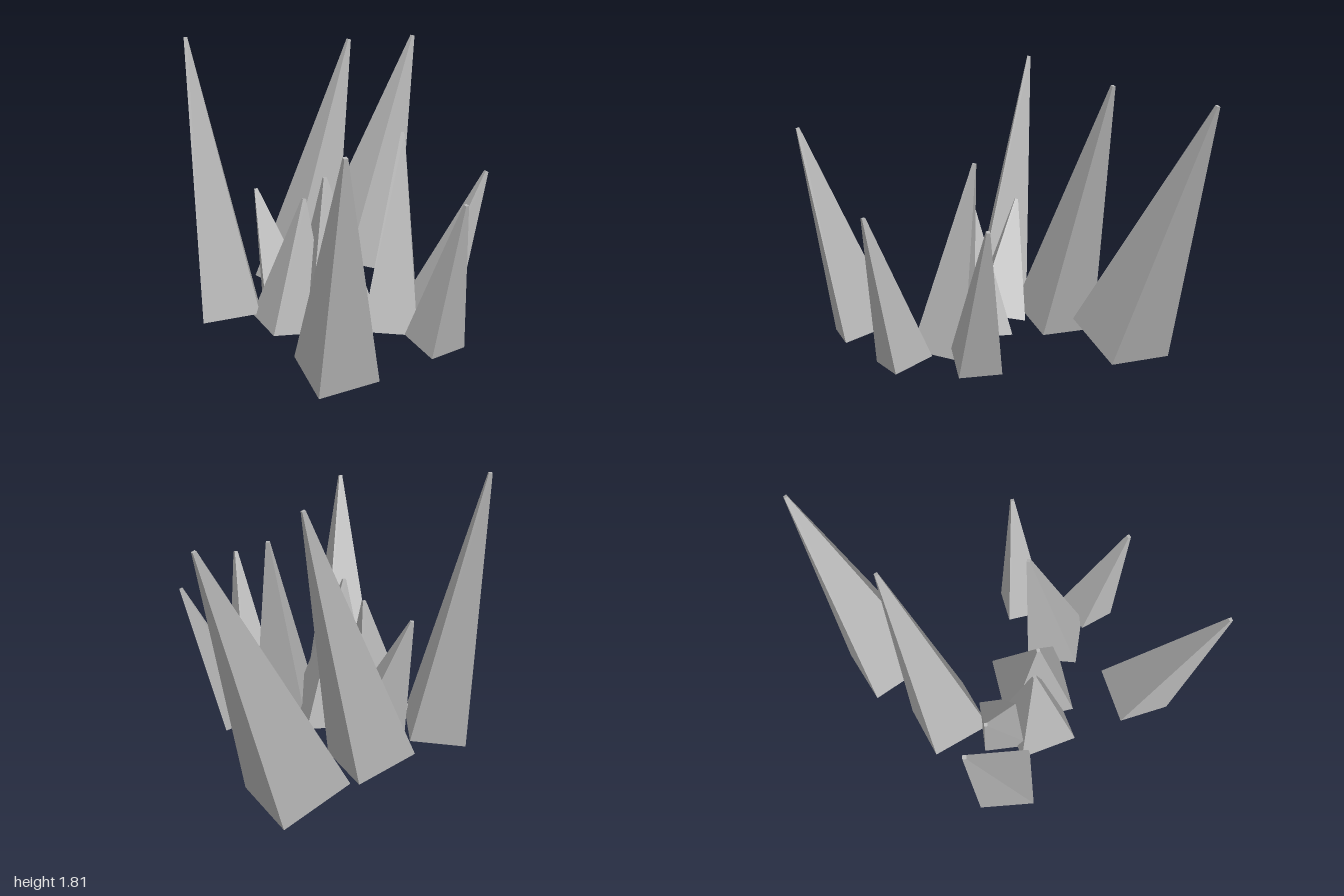
import * as THREE from 'three';

const TIP_RADIUS = 0.015;
const stone = new THREE.MeshStandardMaterial({ color: 0xb4b4b4, flatShading: true });
stone.name = 'grey stone';

// One square tapered spike; the base is square to the axis and the given
// corner (x, z) sets its width and roll.
function makeSpike(name, [bx, by, bz], [tx, ty, tz], [cx, cz]) {
  const base = new THREE.Vector3(bx, by, bz);
  const axis = new THREE.Vector3(tx, ty, tz).sub(base);
  const height = axis.length();
  axis.normalize();

  // corner offset, dropped vertically onto the tilted base plane
  const dx = cx - bx, dz = cz - bz;
  const corner = new THREE.Vector3(dx, -(axis.x * dx + axis.z * dz) / axis.y, dz);
  const radius = corner.length();
  corner.normalize();

  const geometry = new THREE.CylinderGeometry(TIP_RADIUS, radius, height, 4, 1);
  geometry.translate(0, height / 2, 0);
  const side = new THREE.Vector3().crossVectors(axis, corner);
  geometry.applyMatrix4(new THREE.Matrix4().makeBasis(side, axis, corner).setPosition(base));

  const mesh = new THREE.Mesh(geometry, stone);
  mesh.name = name;
  return mesh;
}

// name, base centre, tip, one base corner (x, z)
const SPIKES = [
  ['backRightSpike', [-0.73, 0.11, -0.355], [-0.89, 1.65, -0.99], [-0.95, -0.13]],
  ['middleRightSpike', [-0.59, 0.11, 0.215], [-0.67, 1.71, -0.29], [-0.79, 0.4]],
  ['frontRightSpike', [-0.47, 0.1, 0.755], [-0.75, 1.81, 0.845], [-0.39, 0.99]],
  ['frontLeftSpike', [0.595, 0.1, 0.66], [0.955, 1.425, 0.83], [0.39, 0.81]],
  ['backLeftSpike', [0.26, 0.1, -0.26], [0.37, 0.99, -0.61], [0.1, -0.18]],
  ['sideLeftSpike', [0.625, 0.1, -0.015], [0.87, 1.005, -0.025], [0.755, 0.105]],
  ['innerLeftSpike', [0.315, 0.1, 0.08], [0.185, 1.275, -0.1], [0.34, 0.31]],
  ['centreSpike', [0.01, 0.1, 0.29], [0, 1.02, 0.34], [0.165, 0.57]],
  ['innerFrontSpike', [-0.09, 0.1, 0.54], [-0.08, 0.885, 0.44], [0.065, 0.755]],
  ['innerRightSpike', [-0.28, 0.1, 0.435], [-0.48, 0.87, 0.545], [-0.365, 0.22]],
];

export function createModel() {
  const model = new THREE.Group();
  model.name = 'spikeCluster';
  for (const spike of SPIKES) model.add(makeSpike(...spike));
  return model;
}
